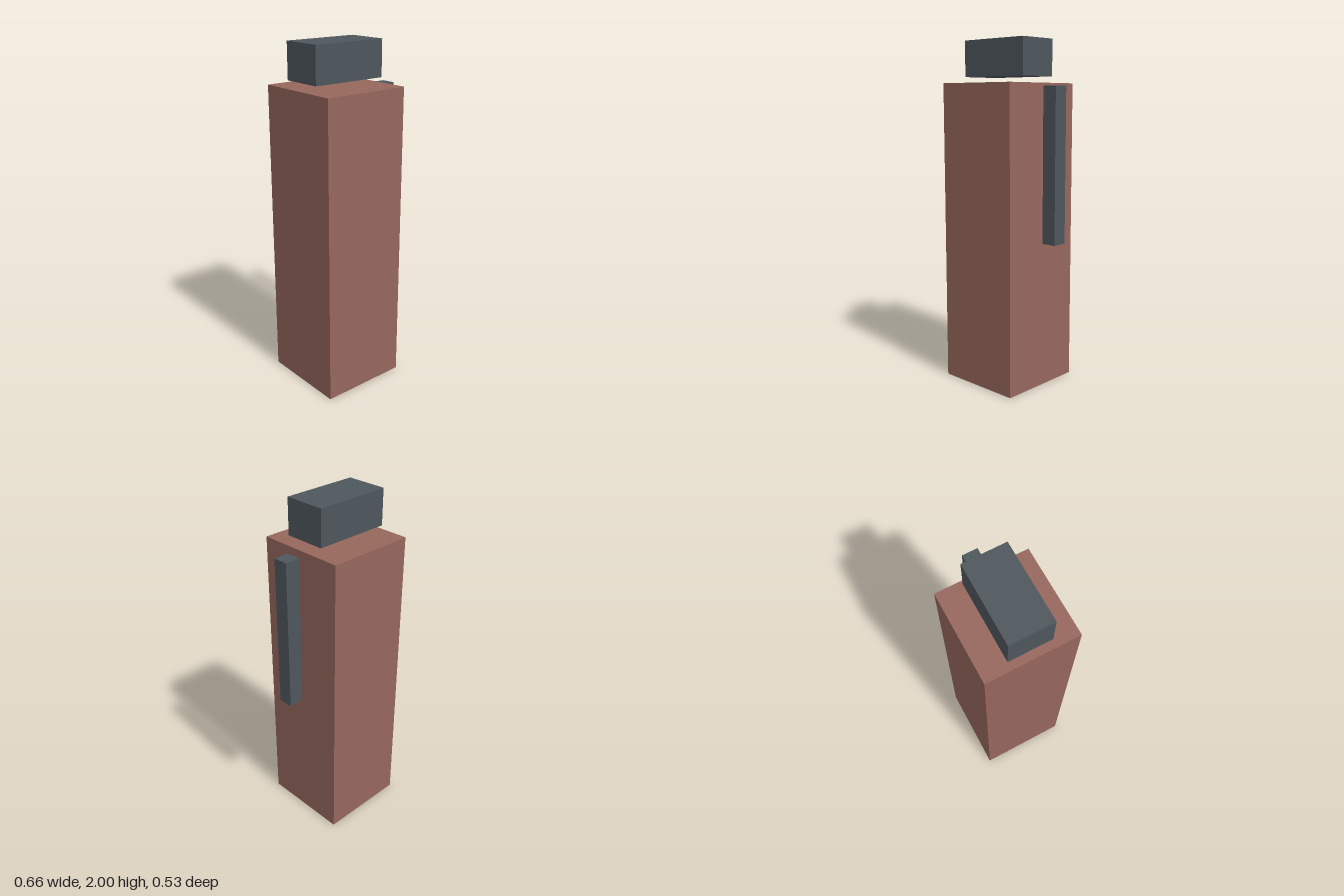
import * as THREE from 'three';

export function createModel() {
  const group = new THREE.Group();
  const red = new THREE.MeshStandardMaterial({ color: 0x97675d });
  const dark = new THREE.MeshStandardMaterial({ color: 0x4e575d });

  // Box given by its x range, y range and depth, centred on z = 0
  function block(name, x0, x1, y0, y1, depth, material) {
    const mesh = new THREE.Mesh(new THREE.BoxGeometry(x1 - x0, y1 - y0, depth), material);
    mesh.position.set((x0 + x1) / 2, (y0 + y1) / 2, 0);
    mesh.name = name;
    group.add(mesh);
  }

  // Tall square body
  block('body', -0.329, 0.197, 0, 1.755, 0.526, red);
  // Cap floating just above the body
  block('cap', -0.295, 0.161, 1.792, 2, 0.245, dark);
  // Upright bar beside the body
  block('sideBar', 0.241, 0.329, 0.862, 1.737, 0.088, dark);

  return group;
}
